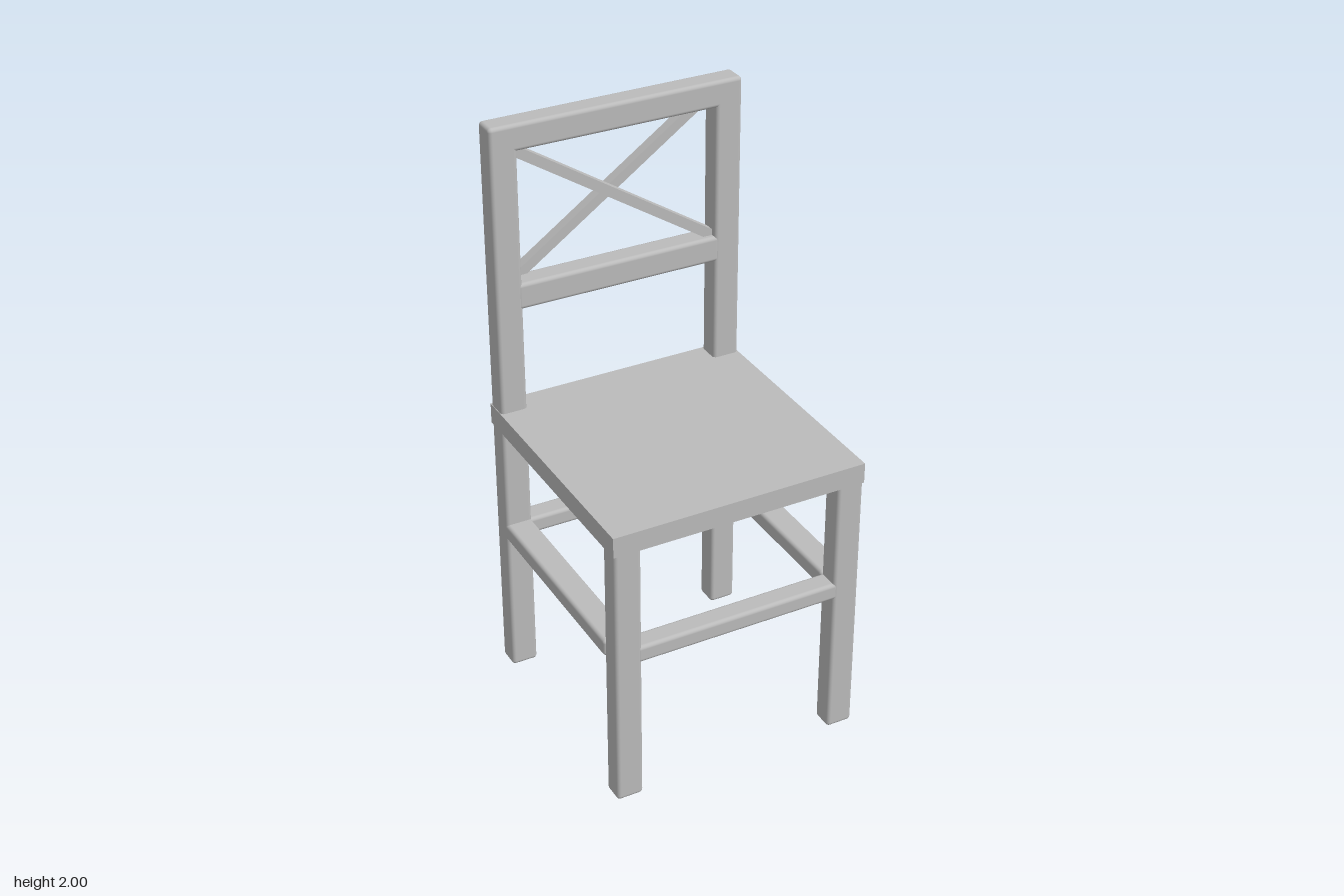
import * as THREE from 'three';
import { RoundedBoxGeometry } from 'three/addons/geometries/RoundedBoxGeometry.js';

export function createModel() {
  const chair = new THREE.Group();
  chair.name = 'chair';
  const paint = new THREE.MeshStandardMaterial({ color: 0xbbbbbb });
  paint.name = 'plain grey';

  const add = (name, geometry, x, y, z) => {
    const mesh = new THREE.Mesh(geometry, paint);
    mesh.name = name;
    mesh.position.set(x, y, z);
    chair.add(mesh);
    return mesh;
  };
  // Softly rounded beam given by its lower and upper limits on each axis
  const beam = (name, [x0, x1], [y0, y1], [z0, z1], radius = 0.013) =>
    add(name, new RoundedBoxGeometry(x1 - x0, y1 - y0, z1 - z0, 3, radius),
      (x0 + x1) / 2, (y0 + y1) / 2, (z0 + z1) / 2);

  const outer = 0.435, inner = 0.343;
  const backZ = [-0.42, -0.34], frontZ = [0.378, 0.454];

  // Legs, back posts and side stretchers, mirrored
  for (const [side, s] of [['left', 1], ['right', -1]]) {
    const xs = s > 0 ? [inner, outer] : [-outer, -inner];
    beam(side + 'BackPost', xs, [0, 2], backZ);
    beam(side + 'FrontLeg', xs, [0, 1.005], frontZ);
    beam(side + 'SideStretcher', xs, [0.52, 0.58], [-0.36, 0.376]);
  }

  // Sharp-edged seat slab
  add('seat', new THREE.BoxGeometry(0.874, 0.07, 0.876), 0, 0.975, 0.016);

  // Cross rails
  const span = [-0.36, 0.36];
  beam('frontStretcher', span, [0.52, 0.58], frontZ);
  beam('backStretcher', span, [0.52, 0.58], backZ);
  beam('backMiddleRail', span, [1.37, 1.46], backZ);
  beam('backTopRail', [-outer, outer], [1.91, 2], backZ);

  // Diagonal braces: one inside the frame, one leaning out behind it
  const brace = (name, from, to) => {
    const a = new THREE.Vector3(...from), b = new THREE.Vector3(...to);
    const mesh = add(name, new THREE.BoxGeometry(0.034, 0.034, a.distanceTo(b)), 0, 0, 0);
    mesh.position.copy(a).add(b).multiplyScalar(0.5);
    mesh.lookAt(b);
  };
  brace('innerBrace', [-0.345, 1.905, -0.378], [0.345, 1.458, -0.378]);
  brace('rearBrace', [-0.335, 1.457, -0.416], [0.335, 1.905, -0.438]);

  return chair;
}
